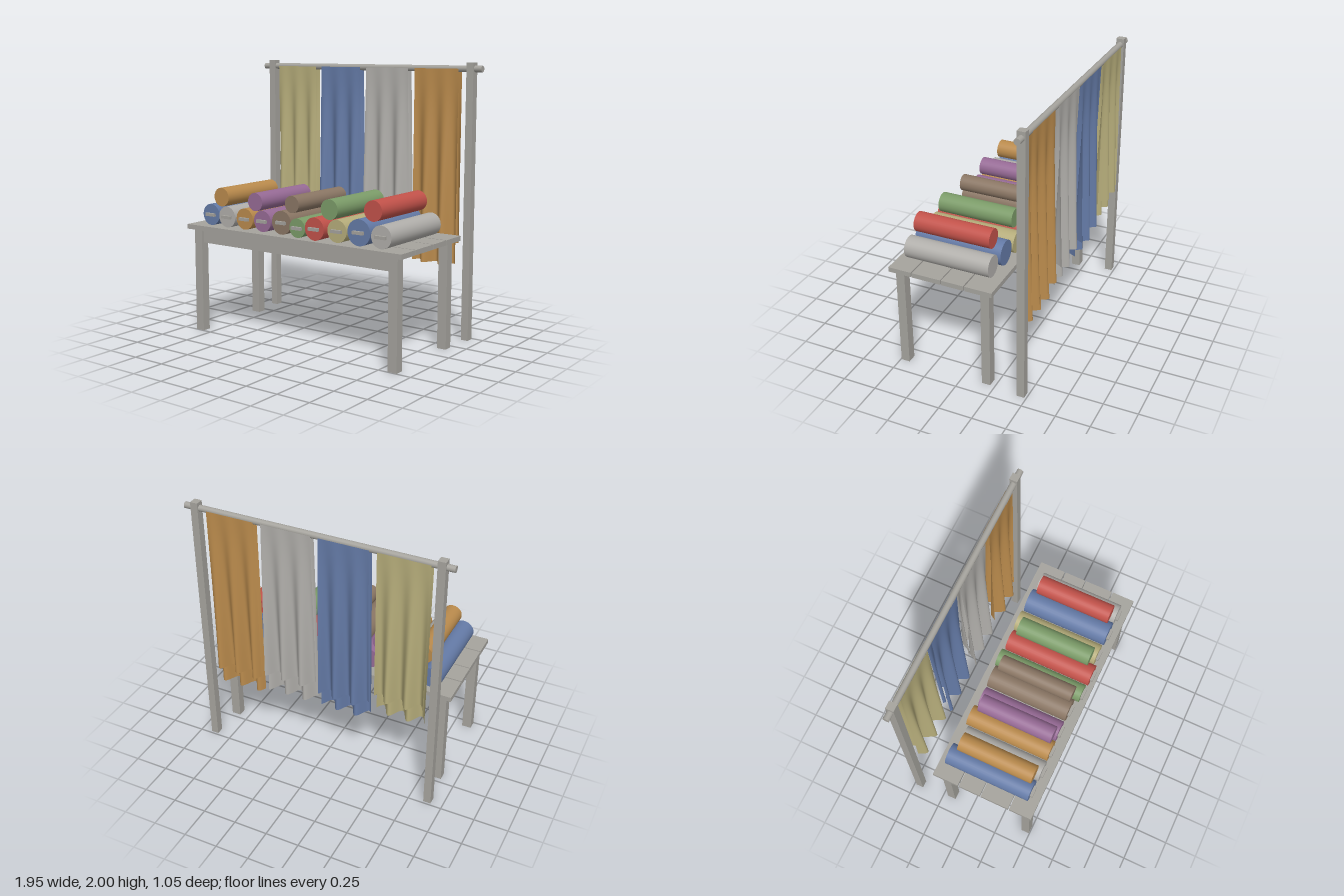
import * as THREE from 'three';

const mat = (name, color) => {
  const m = new THREE.MeshStandardMaterial({ color });
  m.name = name;
  return m;
};

export function createModel() {
  const model = new THREE.Group();
  model.name = 'fabricStall';

  const M = {
    wood: mat('weathered wood', 0xa5a39d),
    blue: mat('blue cloth', 0x647aa6),
    orange: mat('orange cloth', 0xb98a4c),
    grey: mat('grey cloth', 0xb0aeaa),
    yellow: mat('straw cloth', 0xb5ac7a),
    purple: mat('purple cloth', 0x966a95),
    brown: mat('brown cloth', 0x8a7664),
    green: mat('green cloth', 0x7b9b68),
    red: mat('red cloth', 0xc2524a),
  };
  // cloth sheets are visible from both sides
  for (const k of ['blue', 'orange', 'grey', 'yellow']) M[k].side = THREE.DoubleSide;

  const add = (name, geo, material, parent = model) => {
    const mesh = new THREE.Mesh(geo, material);
    mesh.name = name;
    parent.add(mesh);
    return mesh;
  };
  // box given by its limits on each axis
  const box = (name, [x0, x1], [y0, y1], [z0, z1], material, parent) =>
    add(name, new THREE.BoxGeometry(x1 - x0, y1 - y0, z1 - z0), material, parent)
      .position.set((x0 + x1) / 2, (y0 + y1) / 2, (z0 + z1) / 2);

  // Table: four planks, front apron, four legs
  const table = new THREE.Group();
  table.name = 'table';
  model.add(table);
  for (const z of [[-0.255, -0.056], [-0.046, 0.119], [0.127, 0.343], [0.352, 0.525]])
    box('tablePlank', [-0.935, 0.935], [0.77, 0.805], z, M.wood, table);
  box('apron', [-0.82, 0.82], [0.67, 0.77], [0.45, 0.475], M.wood, table);
  for (const x of [[-0.89, -0.82], [0.82, 0.89]])
    for (const z of [[0.43, 0.495], [-0.215, -0.15]])
      box('tableLeg', x, [0, 0.77], z, M.wood, table);

  // Rack: two posts and a rod
  const rackZ = -0.455, rodY = 1.955;
  for (const x of [[-0.915, -0.86], [0.86, 0.915]])
    box('rackPost', x, [0, 2], [rackZ - 0.029, rackZ + 0.029], M.wood);
  const rod = add('rackRod', new THREE.CylinderGeometry(0.023, 0.023, 1.945, 16), M.wood);
  rod.rotation.z = Math.PI / 2;
  rod.position.set(0, rodY, rackZ);

  // Hanging cloths: a front and a back sheet whose folds deepen downwards
  const sheet = (x0, x1, bottom, side, peakX) => {
    const geo = new THREE.PlaneGeometry(1, 1, 40, 12);
    const p = geo.attributes.position;
    for (let i = 0; i < p.count; i++) {
      const x = x0 + (p.getX(i) + 0.5) * (x1 - x0);
      const t = 0.5 - p.getY(i);
      const wave = -Math.cos(((x - peakX) / 0.143) * Math.PI * 2);
      p.setXYZ(i, x, rodY + t * (bottom - rodY), rackZ + side * 0.025 + 0.047 * t * wave);
    }
    geo.computeVertexNormals();
    return geo;
  };
  // material, x range, front hem, back hem, x of a fold
  const cloths = [
    ['yellow', -0.82, -0.455, 0.68, 0.82, -0.705],
    ['blue', -0.4, -0.04, 0.59, 0.72, -0.31],
    ['grey', 0.015, 0.38, 0.59, 0.75, 0.095],
    ['orange', 0.437, 0.797, 0.545, 0.69, 0.475],
  ];
  for (const [c, x0, x1, front, back, peak] of cloths) {
    const cloth = new THREE.Group();
    cloth.name = c + 'HangingCloth';
    model.add(cloth);
    add('frontSheet', sheet(x0, x1, front, 1, peak), M[c], cloth);
    add('backSheet', sheet(x0, x1, back, -1, peak), M[c], cloth);
  }

  // Fabric rolls lying front to back
  const roll = (name, c, x, y, r, z0, z1) => {
    const geo = new THREE.CylinderGeometry(r, r, z1 - z0, 32);
    geo.rotateX(Math.PI / 2);
    add(name, geo, M[c]).position.set(x, y, (z0 + z1) / 2);
  };
  // colour, x, radius, back z, front z
  const lower = [
    ['blue', -0.76, 0.079, -0.2, 0.452],
    ['grey', -0.598, 0.077, -0.162, 0.46],
    ['orange', -0.436, 0.077, -0.19, 0.453],
    ['purple', -0.275, 0.077, -0.173, 0.448],
    ['brown', -0.102, 0.085, -0.18, 0.448],
    ['green', 0.06, 0.068, -0.2, 0.477],
    ['red', 0.215, 0.08, -0.185, 0.487],
    ['yellow', 0.384, 0.079, -0.195, 0.46],
    ['blue', 0.566, 0.091, -0.19, 0.465],
    ['grey', 0.741, 0.079, -0.175, 0.463],
  ];
  for (const [c, x, r, z0, z1] of lower) {
    const y = 0.805 + r;
    roll('lowerRoll', c, x, y, r, z0, z1);
    box('rollTag', [x - 0.042, x + 0.042], [y - 0.011, y + 0.011], [z1 - 0.01, z1 + 0.021], M.wood);
  }
  // colour, x, y, radius
  const upper = [
    ['orange', -0.676, 1.018, 0.069],
    ['purple', -0.355, 1.011, 0.066],
    ['brown', -0.022, 1.025, 0.061],
    ['green', 0.3, 1.02, 0.071],
    ['red', 0.656, 1.045, 0.071],
  ];
  for (const [c, x, y, r] of upper) roll('upperRoll', c, x, y, r, -0.14, 0.432);

  return model;
}
